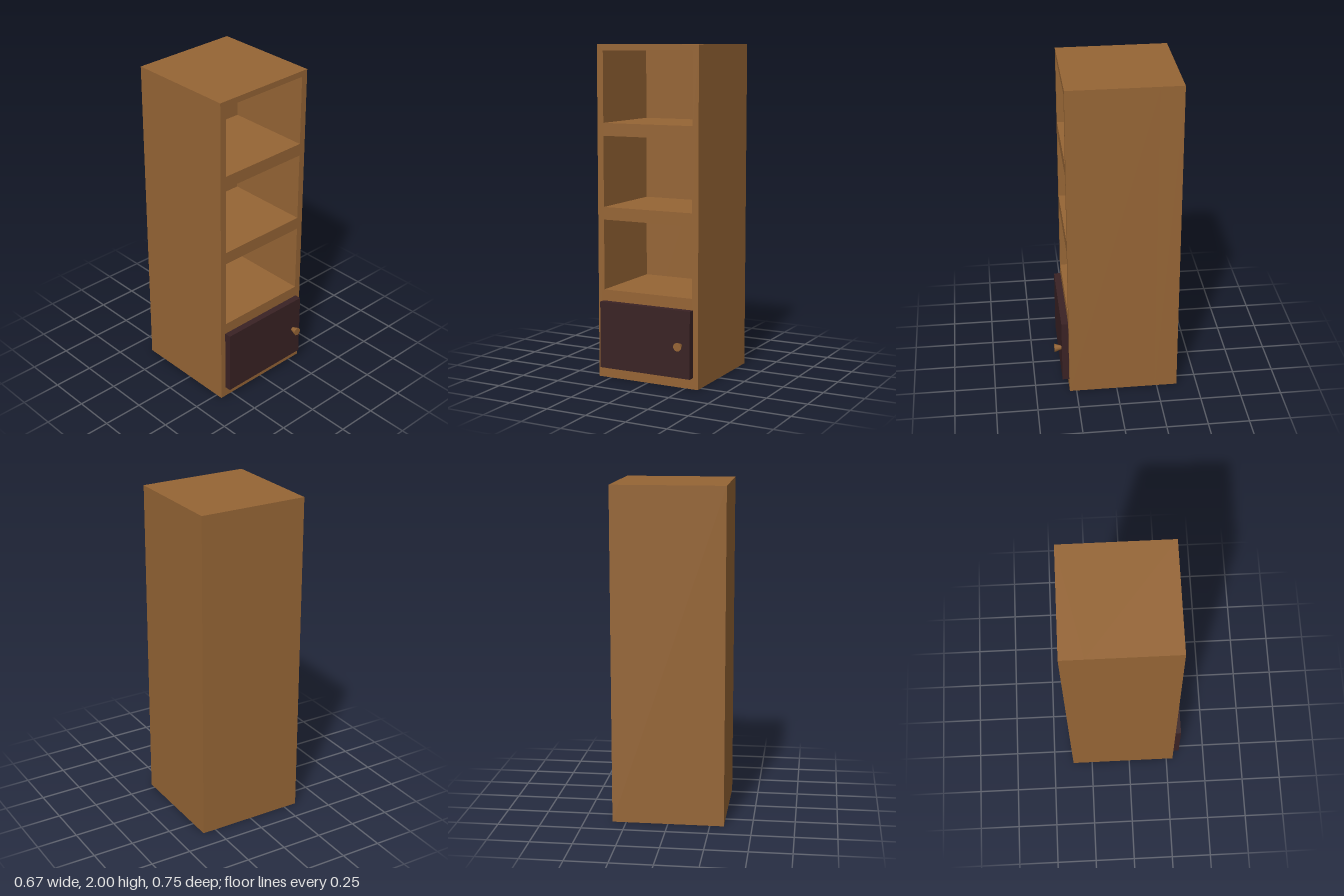
import * as THREE from 'three';

const wood = new THREE.MeshStandardMaterial({ name: 'warm wood', color: 0x966535 });
const dark = new THREE.MeshStandardMaterial({ name: 'dark wood', color: 0x3a2224 });

// Adds a rectangle to a shape or hole path
function rect(path, x0, y0, x1, y1) {
  path.moveTo(x0, y0);
  path.lineTo(x1, y0);
  path.lineTo(x1, y1);
  path.lineTo(x0, y1);
  path.closePath();
  return path;
}

export function createModel() {
  const group = new THREE.Group();
  group.name = 'bookcase';
  const add = (name, geometry, material, x, y, z) => {
    const mesh = new THREE.Mesh(geometry, material);
    mesh.name = name;
    mesh.position.set(x, y, z);
    group.add(mesh);
    return mesh;
  };

  const halfWidth = 0.333, front = 0.292, back = -0.375, inner = -0.238;

  // Carcass with three open compartments
  const face = rect(new THREE.Shape(), -halfWidth, 0, halfWidth, 2);
  for (let i = 0; i < 3; i++) {
    const floor = 0.54 + i * 0.5;
    face.holes.push(rect(new THREE.Path(), -0.293, floor, 0.293, floor + 0.424));
  }
  add('carcass', new THREE.ExtrudeGeometry(face, { depth: front - inner, bevelEnabled: false }),
    wood, 0, 0, inner);

  // Thick back panel closing the compartments
  add('backPanel', new THREE.BoxGeometry(halfWidth * 2, 2, inner - back),
    wood, 0, 1, (inner + back) / 2);

  // Cupboard door standing proud of the front
  add('door', new THREE.BoxGeometry(0.6, 0.404, 0.041), dark, 0, 0.27, front + 0.0205);

  // Flared door knob
  const knob = add('doorKnob', new THREE.CylinderGeometry(0.026, 0.012, 0.042, 10), wood, 0.239, 0.265, 0.354);
  knob.rotation.x = Math.PI / 2;

  return group;
}
